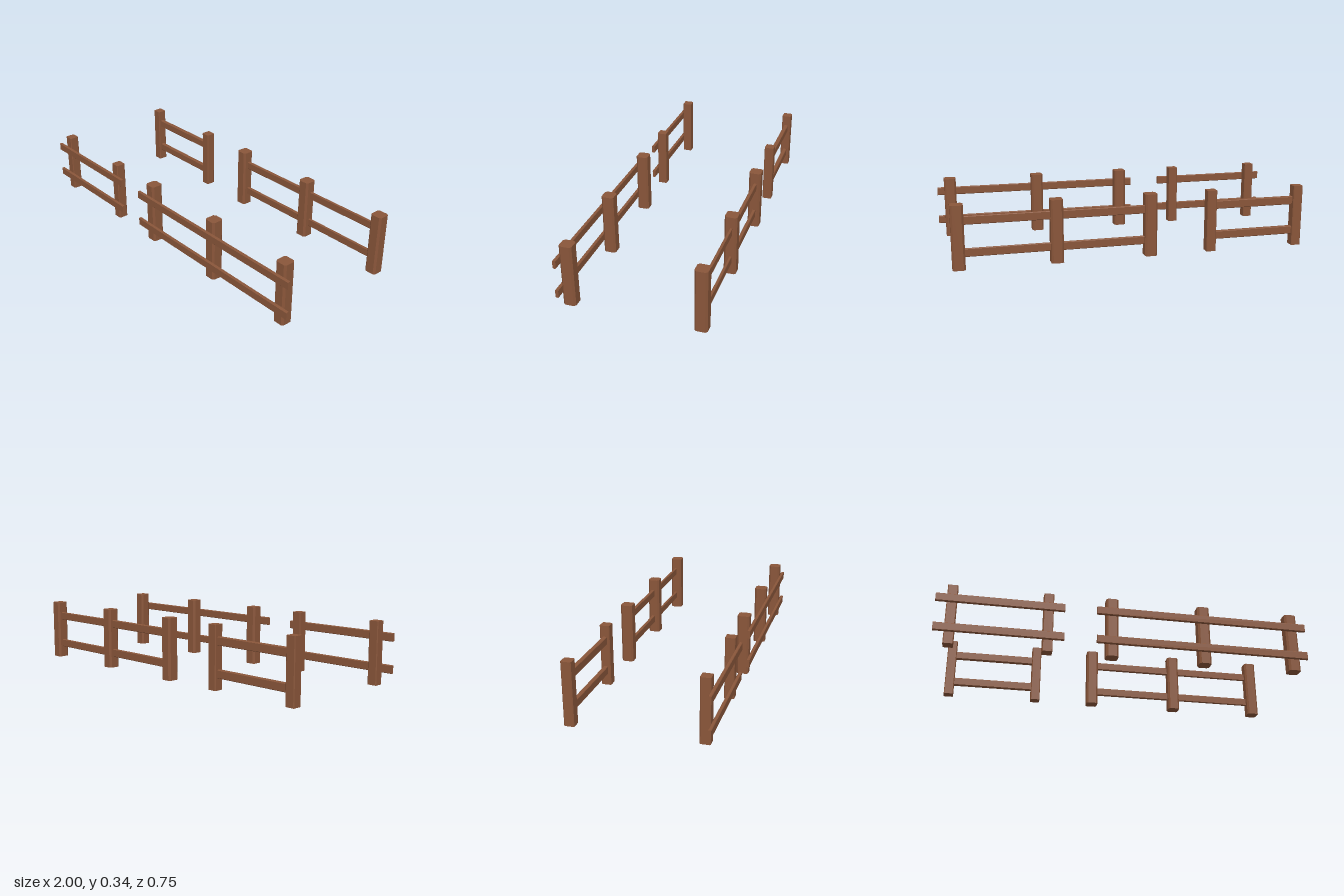
import * as THREE from 'three';

const wood = new THREE.MeshStandardMaterial({ color: 0x8a563a, flatShading: true });

// Prism with chamfered long edges: w by h cross-section, extruded along z and centred
function chamferedBar(w, h, length, c) {
  const x = w / 2, y = h / 2;
  const shape = new THREE.Shape([
    [x - c, -y], [x, -y + c], [x, y - c], [x - c, y],
    [-x + c, y], [-x, y - c], [-x, -y + c], [-x + c, -y],
  ].map(([a, b]) => new THREE.Vector2(a, b)));
  const geo = new THREE.ExtrudeGeometry(shape, { depth: length, bevelEnabled: false });
  return geo.translate(0, 0, -length / 2);
}

function addMesh(group, name, geo, x, y, z) {
  const mesh = new THREE.Mesh(geo, wood);
  mesh.name = name;
  mesh.position.set(x, y, z);
  group.add(mesh);
}

const POST_HEIGHT = 0.336;
const RAIL_HEIGHT = 0.044;
const RAIL_LEVELS = [0.085, 0.253];

// posts: x positions; rails: [x start, x end, z centre, thickness]
function buildFence({ name, posts, size, chamfer, z, rails }) {
  const fence = new THREE.Group();
  fence.name = name;
  const postGeo = chamferedBar(size, size, POST_HEIGHT, chamfer).rotateX(-Math.PI / 2);
  for (const x of posts) addMesh(fence, 'post', postGeo, x, POST_HEIGHT / 2, z);
  for (const [x0, x1, railZ, thick] of rails) {
    const railGeo = chamferedBar(thick, RAIL_HEIGHT, x1 - x0, 0.003).rotateY(Math.PI / 2);
    for (const y of RAIL_LEVELS) addMesh(fence, 'rail', railGeo, (x0 + x1) / 2, y, railZ);
  }
  return fence;
}

export function createModel() {
  const model = new THREE.Group();
  model.name = 'fenceSet';
  const shortPosts = [-0.917, -0.416];
  const longPosts = [-0.076, 0.427, 0.929];
  const short = { posts: shortPosts, size: 0.053, chamfer: 0.004 };
  const long = { posts: longPosts, size: 0.066, chamfer: 0.01 };

  // Front fences: rails nailed across the face of the posts
  model.add(buildFence({
    ...short, name: 'shortFenceWithOuterRails', z: 0.328,
    rails: [[-1, -0.331, 0.362, 0.017]],
  }));
  model.add(buildFence({
    ...long, name: 'longFenceWithOuterRails', z: 0.327,
    rails: [[-0.161, 1, 0.368, 0.017]],
  }));

  // Back fences: rails set between the posts
  model.add(buildFence({
    ...short, name: 'shortFenceWithInsetRails', z: -0.345,
    rails: [[shortPosts[0], shortPosts[1], -0.345, 0.024]],
  }));
  model.add(buildFence({
    ...long, name: 'longFenceWithInsetRails', z: -0.344,
    rails: [
      [longPosts[0], longPosts[1], -0.347, 0.018],
      [longPosts[1], longPosts[2], -0.347, 0.014],
    ],
  }));
  return model;
}
